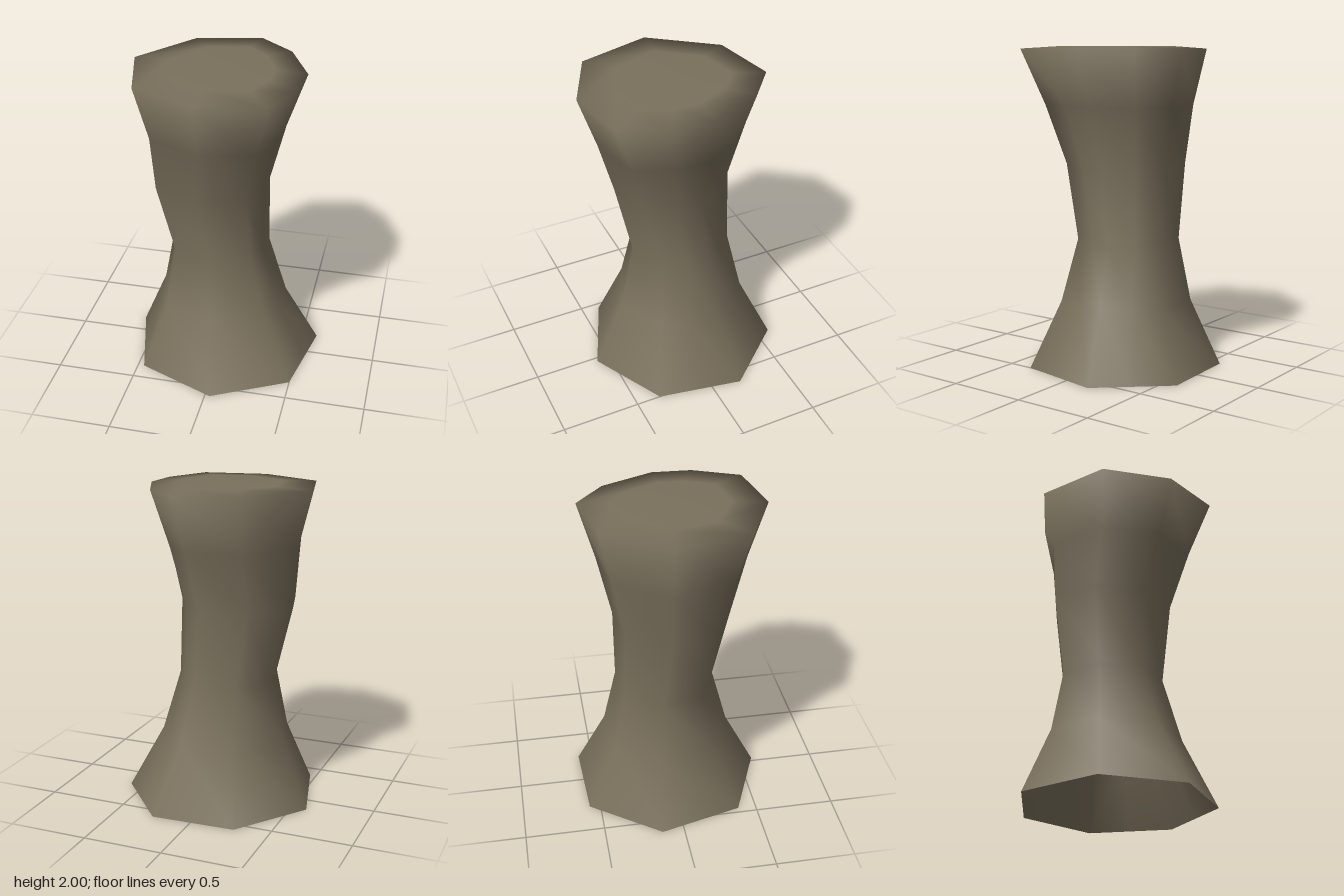
import * as THREE from 'three';

// Outlines of the foot and the rim as [x, z], corner matched to corner
const FOOT = [[0.03, 0.585], [-0.46, 0.38], [-0.6, -0.14], [-0.28, -0.57], [0.25, -0.59],
  [0.425, -0.39], [0.6, -0.19], [0.55, 0.075], [0.5, 0.34]];
const RIM = [[-0.05, 0.59], [-0.45, 0.4], [-0.57, -0.055], [-0.28, -0.445], [0.125, -0.53],
  [0.34, -0.35], [0.49, -0.02], [0.48, 0.23], [0.355, 0.52]];

// Levels of the trunk: y, min x, max x, min z, max z
const LEVELS = [
  [0, -0.6, 0.6, -0.59, 0.59],
  [0.41, -0.43, 0.385, -0.41, 0.385],
  [0.8, -0.355, 0.27, -0.335, 0.28],
  [1.27, -0.46, 0.275, -0.345, 0.37],
  [1.64, -0.48, 0.37, -0.43, 0.475],
  [1.985, -0.57, 0.49, -0.53, 0.59],
  [2.0, -0.35, 0.3, -0.33, 0.37], // flat middle of the top
];

// Blend foot into rim by height, then fit the outline to the level's extents
function ring([y, x0, x1, z0, z1]) {
  const t = Math.min(y / 1.985, 1);
  const pts = FOOT.map((p, i) => [0, 1].map((k) => THREE.MathUtils.lerp(p[k], RIM[i][k], t)));
  const range = (k) => [Math.min(...pts.map((p) => p[k])), Math.max(...pts.map((p) => p[k]))];
  const [ax, bx] = range(0);
  const [az, bz] = range(1);
  return pts.map(([x, z]) => [
    THREE.MathUtils.mapLinear(x, ax, bx, x0, x1), y,
    THREE.MathUtils.mapLinear(z, az, bz, z0, z1),
  ]);
}

export function createModel() {
  const bark = new THREE.MeshStandardMaterial({ color: 0x7a705c, side: THREE.DoubleSide });
  bark.name = 'greyBrown';

  const n = FOOT.length;
  const positions = LEVELS.flatMap((level) => ring(level).flat());
  const index = [];
  for (let r = 0; r < LEVELS.length - 1; r++) {
    for (let i = 0; i < n; i++) {
      const j = (i + 1) % n;
      const a = r * n + i, d = r * n + j;
      index.push(a, a + n, d + n, a, d + n, d);
    }
  }

  // Close the top with a fan; the foot stays open
  const last = (LEVELS.length - 1) * n;
  const centre = positions.length / 3;
  positions.push(-0.03, 2, 0.02);
  for (let i = 0; i < n; i++) index.push(last + i, centre, last + ((i + 1) % n));

  const geometry = new THREE.BufferGeometry();
  geometry.setAttribute('position', new THREE.Float32BufferAttribute(positions, 3));
  geometry.setIndex(index);
  geometry.computeVertexNormals();

  const trunk = new THREE.Mesh(geometry, bark);
  trunk.name = 'trunk';
  const group = new THREE.Group();
  group.name = 'stump';
  group.add(trunk);
  return group;
}
